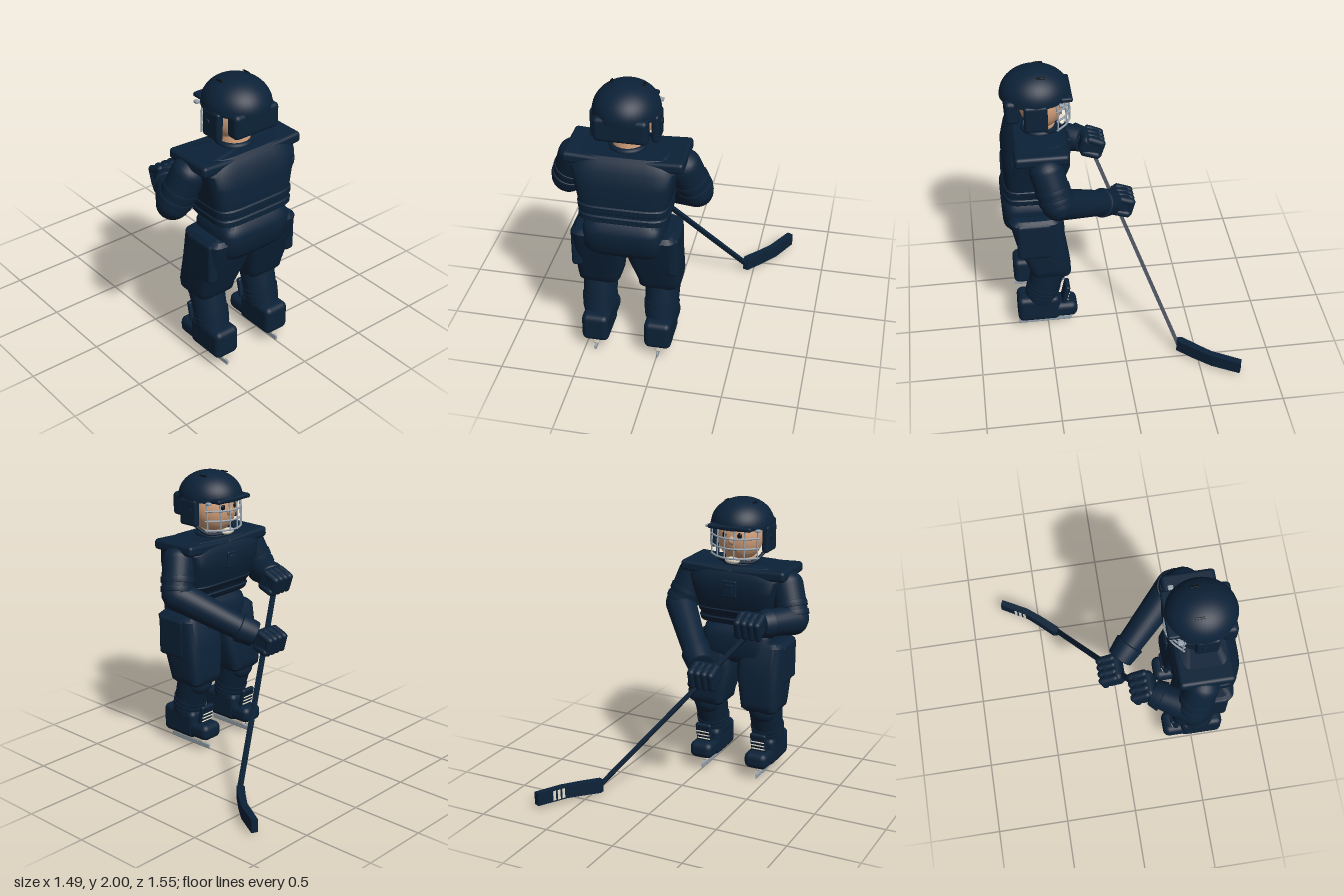
import * as THREE from 'three';
import { toCreasedNormals } from 'three/addons/utils/BufferGeometryUtils.js';
import { RoundedBoxGeometry } from 'three/addons/geometries/RoundedBoxGeometry.js';

const mat = (name, color) => Object.assign(new THREE.MeshStandardMaterial({ color }), { name });
const V = (x, y, z) => new THREE.Vector3(x, y, z);

export function createModel() {
  const navy = mat('navy', 0x0c2238), skin = mat('skin', 0xd6a27c), steel = mat('steel', 0x98a4b0);
  const cream = mat('cream', 0xe6dfcc), black = mat('black', 0x0a0d12);
  const model = new THREE.Group();
  model.name = 'hockeyPlayer';
  const body = new THREE.Group(); // the player stands left of the stick blade
  body.name = 'player';
  body.position.x = -0.21;
  model.add(body);

  const add = (name, geo, material, x = 0, y = 0, z = 0, parent = body) => {
    const m = new THREE.Mesh(geo, material);
    m.name = name;
    m.position.set(x, y, z);
    parent.add(m);
    return m;
  };
  const box = (name, material, w, h, d, x, y, z, r = 0.02, parent = body) =>
    add(name, new RoundedBoxGeometry(w, h, d, 3, Math.min(r, w / 2.1, h / 2.1, d / 2.1)), material, x, y, z, parent);
  const ball = (name, material, rx, ry, rz, x, y, z) => {
    const m = add(name, new THREE.SphereGeometry(1, 32, 20), material, x, y, z);
    m.scale.set(rx, ry, rz);
    return m;
  };

  // Tapered limb with rounded ends from a to b
  const limb = (name, material, a, b, r0, r1, round = 0.6, parent = body) => {
    const len = a.distanceTo(b), pts = [];
    for (let i = 0; i <= 6; i++) {
      const t = (i / 6) * Math.PI / 2;
      pts.push(new THREE.Vector2(r0 * Math.sin(t), -r0 * round * Math.cos(t)));
    }
    for (let i = 6; i >= 0; i--) {
      const t = (i / 6) * Math.PI / 2;
      pts.push(new THREE.Vector2(r1 * Math.sin(t), len + r1 * round * Math.cos(t)));
    }
    const m = add(name, new THREE.LatheGeometry(pts, 28), material, a.x, a.y, a.z, parent);
    m.quaternion.setFromUnitVectors(V(0, 1, 0), b.clone().sub(a).normalize());
    return m;
  };
  const rod = (name, material, pts, r) =>
    add(name, new THREE.TubeGeometry(new THREE.CatmullRomCurve3(pts), 20, r, 8), material);

  // Loft of rounded rectangles, rows bottom to top: [y, half width, front z, back z, centre x]
  const loft = (name, rows, power = 5, bevel = 0.025) => {
    const inset = (r, dy) => [r[0] + dy, r[1] - bevel, r[2] + bevel, r[3] - bevel, r[4]];
    const first = rows[0], last = rows[rows.length - 1];
    const all = [inset(first, 0), [first[0] + bevel, ...first.slice(1)], ...rows.slice(1, -1),
      [last[0] - bevel, ...last.slice(1)], inset(last, 0)];
    const n = 40, pos = [], idx = [];
    const soft = (v) => Math.sign(v) * Math.abs(v) ** (2 / power);
    for (const [y, hx, z0, z1, cx = 0] of all)
      for (let i = 0; i < n; i++) {
        const t = (i / n) * Math.PI * 2;
        pos.push(cx + hx * soft(Math.cos(t)), y, (z0 + z1) / 2 + (z1 - z0) / 2 * soft(Math.sin(t)));
      }
    for (let j = 0; j < all.length - 1; j++)
      for (let i = 0; i < n; i++) {
        const a = j * n + i, b = j * n + (i + 1) % n;
        idx.push(a, a + n, b, b, a + n, b + n);
      }
    const top = (all.length - 1) * n;
    for (let i = 1; i < n - 1; i++) idx.push(0, i, i + 1, top, top + i + 1, top + i);
    const g = new THREE.BufferGeometry();
    g.setAttribute('position', new THREE.Float32BufferAttribute(pos, 3));
    g.setIndex(idx);
    return add(name, toCreasedNormals(g, 0.7), navy);
  };

  // Jersey, hem bands, collar and chest patch
  loft('jersey', [[1.1, 0.285, 0.4, 0.755], [1.22, 0.295, 0.36, 0.755], [1.37, 0.325, 0.305, 0.755],
    [1.47, 0.345, 0.305, 0.73], [1.55, 0.31, 0.33, 0.69]]);
  loft('hemBandLower', [[1.11, 0.293, 0.39, 0.765], [1.16, 0.296, 0.375, 0.765]], 5, 0.008);
  loft('hemBandUpper', [[1.18, 0.298, 0.37, 0.765], [1.23, 0.302, 0.35, 0.765]], 5, 0.008);
  box('chestPatch', navy, 0.11, 0.12, 0.02, 0, 1.4, 0.3, 0.01);
  box('chestPatchCentre', navy, 0.06, 0.07, 0.02, 0, 1.4, 0.294, 0.008);
  add('neck', new THREE.CylinderGeometry(0.1, 0.11, 0.12, 28), skin, 0, 1.56, 0.49);
  const collar = add('collar', new THREE.TorusGeometry(0.105, 0.022, 10, 32), navy, 0, 1.555, 0.49);
  collar.rotation.x = Math.PI / 2;

  // Padded trousers
  loft('hips', [[0.83, 0.25, 0.39, 0.74], [0.9, 0.265, 0.375, 0.775], [1.03, 0.268, 0.38, 0.78], [1.1, 0.258, 0.4, 0.765]]);

  for (const s of [-1, 1]) {
    const yoke = box('shoulderPlate', navy, 0.4, 0.075, 0.36, s * 0.19, 1.508, 0.505, 0.025);
    yoke.rotation.z = s * 0.05;

    // Thigh, hip pad and sock
    loft('thigh', [[0.5, 0.14, 0.335, 0.61, s * 0.205], [0.57, 0.145, 0.33, 0.62, s * 0.205],
      [0.78, 0.168, 0.36, 0.7, s * 0.18], [1.0, 0.16, 0.39, 0.74, s * 0.19]]);
    box('hipPad', navy, 0.075, 0.29, 0.24, s * 0.318, 0.84, 0.575, 0.025);
    limb('sock', navy, V(s * 0.215, 0.52, 0.475), V(s * 0.215, 0.25, 0.55), 0.12, 0.108, 0.3);
    ball('kneePad', navy, 0.1, 0.09, 0.07, s * 0.215, 0.5, 0.42);
    for (const [t, r] of [[0.35, 0.12], [0.315, 0.118], [0.28, 0.114]]) {
      const band = add('sockBand', new THREE.CylinderGeometry(r, r - 0.002, 0.028, 28), navy, s * 0.215, t, 0.475 + (0.52 - t) * 0.28);
      band.rotation.x = -0.27;
    }

    // Skate
    const x = s * 0.215;
    box('skateBoot', navy, 0.185, 0.205, 0.3, x, 0.182, 0.565, 0.04);
    box('skateToe', navy, 0.175, 0.12, 0.28, x, 0.148, 0.43, 0.045);
    const tongue = box('skateTongue', navy, 0.12, 0.17, 0.035, x, 0.26, 0.37, 0.015);
    tongue.rotation.x = -0.22;
    for (let i = 0; i < 3; i++)
      box('lace', cream, 0.1, 0.009, 0.008, x, 0.225 + i * 0.028, 0.358 - i * 0.006, 0.003);
    box('bladeHolder', cream, 0.04, 0.045, 0.31, x, 0.062, 0.535, 0.012);
    box('skateBlade', steel, 0.014, 0.036, 0.375, x, 0.02, 0.52, 0.006);

    // Helmet side, strap and cage mounts
    box('earGuard', navy, 0.05, 0.19, 0.155, s * 0.195, 1.735, 0.522, 0.02);
    const rivet = add('earRivet', new THREE.CylinderGeometry(0.02, 0.02, 0.012, 16), navy, s * 0.222, 1.75, 0.5);
    rivet.rotation.z = Math.PI / 2;
    rod('chinStrap', navy, [V(s * 0.185, 1.65, 0.5), V(s * 0.13, 1.585, 0.41), V(s * 0.03, 1.585, 0.345)], 0.012);
    ball('eye', black, 0.018, 0.02, 0.012, s * 0.055, 1.77, 0.338);
    box('eyebrow', black, 0.06, 0.012, 0.014, s * 0.055, 1.805, 0.345, 0.005);
    box('cageMount', steel, 0.03, 0.02, 0.035, s * 0.185, 1.815, 0.35, 0.006);
    for (const dx of [-0.02, 0.02])
      box('helmetVent', black, 0.014, 0.008, 0.06, s * 0.085 + dx, 1.979, 0.475, 0.003).rotation.z = -s * 0.34;
  }

  // Head and helmet
  ball('head', skin, 0.165, 0.19, 0.15, 0, 1.755, 0.475);
  ball('nose', skin, 0.025, 0.03, 0.03, 0, 1.735, 0.33);
  box('mouth', black, 0.06, 0.009, 0.012, 0, 1.665, 0.345, 0.003);
  const dome = add('helmetShell', new THREE.SphereGeometry(1, 40, 16, 0, Math.PI * 2, 0, Math.PI / 2), navy, 0, 1.825, 0.51);
  dome.scale.set(0.215, 0.175, 0.232);
  const base = add('helmetRim', new THREE.CylinderGeometry(1, 1, 0.02, 40), navy, 0, 1.822, 0.51);
  base.scale.set(0.217, 1, 0.234);
  box('helmetBrim', navy, 0.32, 0.032, 0.08, 0, 1.83, 0.315, 0.014);
  box('helmetBack', navy, 0.345, 0.165, 0.1, 0, 1.762, 0.67, 0.03);

  // Face cage and chin cup
  const depth = (x) => 0.285 + 3.2 * x * x;
  for (const y of [1.755, 1.685, 1.618])
    rod('cageBar', steel, [-0.18, -0.1, 0, 0.1, 0.18].map((x) => V(x, y, depth(x))), 0.007);
  for (const x of [-0.17, -0.1, -0.035, 0.035, 0.1, 0.17])
    rod('cageUpright', steel, [V(x, 1.825, depth(x) + 0.01), V(x, 1.72, depth(x)), V(x, 1.612, depth(x))], 0.006);
  ball('chinCup', cream, 0.055, 0.024, 0.028, 0, 1.592, 0.345);

  // Arms: shoulder, elbow, wrist and hand
  const arms = [
    [V(0.35, 1.43, 0.48), V(0.43, 1.21, 0.42), V(0.12, 0.955, 0.06), V(0.01, 0.885, -0.055), 0.25],
    [V(-0.35, 1.43, 0.48), V(-0.43, 1.21, 0.42), V(-0.315, 1.22, 0.215), V(-0.245, 1.225, 0.12), 0.3],
  ];
  for (const [shoulder, elbow, wrist, hand, pitch] of arms) {
    const at = (a, b, t) => a.clone().lerp(b, t);
    limb('upperArm', navy, shoulder, elbow, 0.115, 0.108, 0.85);
    limb('forearm', navy, elbow, wrist, 0.108, 0.085, 0.9);
    limb('sleeveBand', navy, at(shoulder, elbow, 0.5), at(shoulder, elbow, 0.66), 0.118, 0.117, 0.08);
    limb('sleeveBand', navy, at(shoulder, elbow, 0.78), at(shoulder, elbow, 0.92), 0.117, 0.116, 0.08);
    limb('gloveCuff', navy, at(elbow, wrist, 0.9), at(wrist, hand, 0.35), 0.102, 0.09, 0.15);
    const glove = new THREE.Group();
    glove.name = 'glove';
    glove.position.copy(hand);
    glove.rotation.x = -pitch;
    body.add(glove);
    box('palm', navy, 0.19, 0.145, 0.15, 0, 0, 0.01, 0.04, glove);
    for (let i = 0; i < 4; i++) {
      const x = -0.072 + i * 0.048;
      limb('finger', navy, V(x, 0.055, 0.03), V(x, 0.045, -0.055), 0.027, 0.027, 1, glove);
      limb('fingertip', navy, V(x, 0.045, -0.06), V(x, -0.05, -0.06), 0.026, 0.025, 1, glove);
    }
    limb('thumb', navy, V(0.07, -0.05, 0.04), V(0.085, -0.05, -0.05), 0.03, 0.026, 1, glove);
  }

  // Stick shaft, curved blade and stripes
  const top = V(-0.47, 1.2, 0.13), heel = V(0.45, 0.07, -0.373);
  const shaft = add('stickShaft', new THREE.BoxGeometry(0.03, top.distanceTo(heel), 0.026), navy, 0, 0, 0, model);
  shaft.position.copy(top).lerp(heel, 0.5);
  shaft.quaternion.setFromUnitVectors(V(0, 1, 0), top.clone().sub(heel).normalize());
  const outline = [[0.428, 0.372], [0.463, 0.36], [0.56, 0.465], [0.65, 0.575], [0.747, 0.752],
    [0.707, 0.77], [0.597, 0.58], [0.52, 0.495], [0.432, 0.405]];
  const bladeGeo = new THREE.ExtrudeGeometry(new THREE.Shape(outline.map((p) => new THREE.Vector2(...p))),
    { depth: 0.092, bevelEnabled: false });
  bladeGeo.rotateX(-Math.PI / 2);
  add('stickBlade', bladeGeo, navy, 0, 0.024, 0, model);
  for (const t of [0.025, 0.06, 0.095]) {
    const stripe = add('bladeStripe', new THREE.BoxGeometry(0.02, 0.07, 0.008), cream, 0.597 + 0.501 * t, 0.07, -0.58 - 0.865 * t, model);
    stripe.rotation.y = Math.atan2(0.865, 0.501);
  }
  return model;
}
